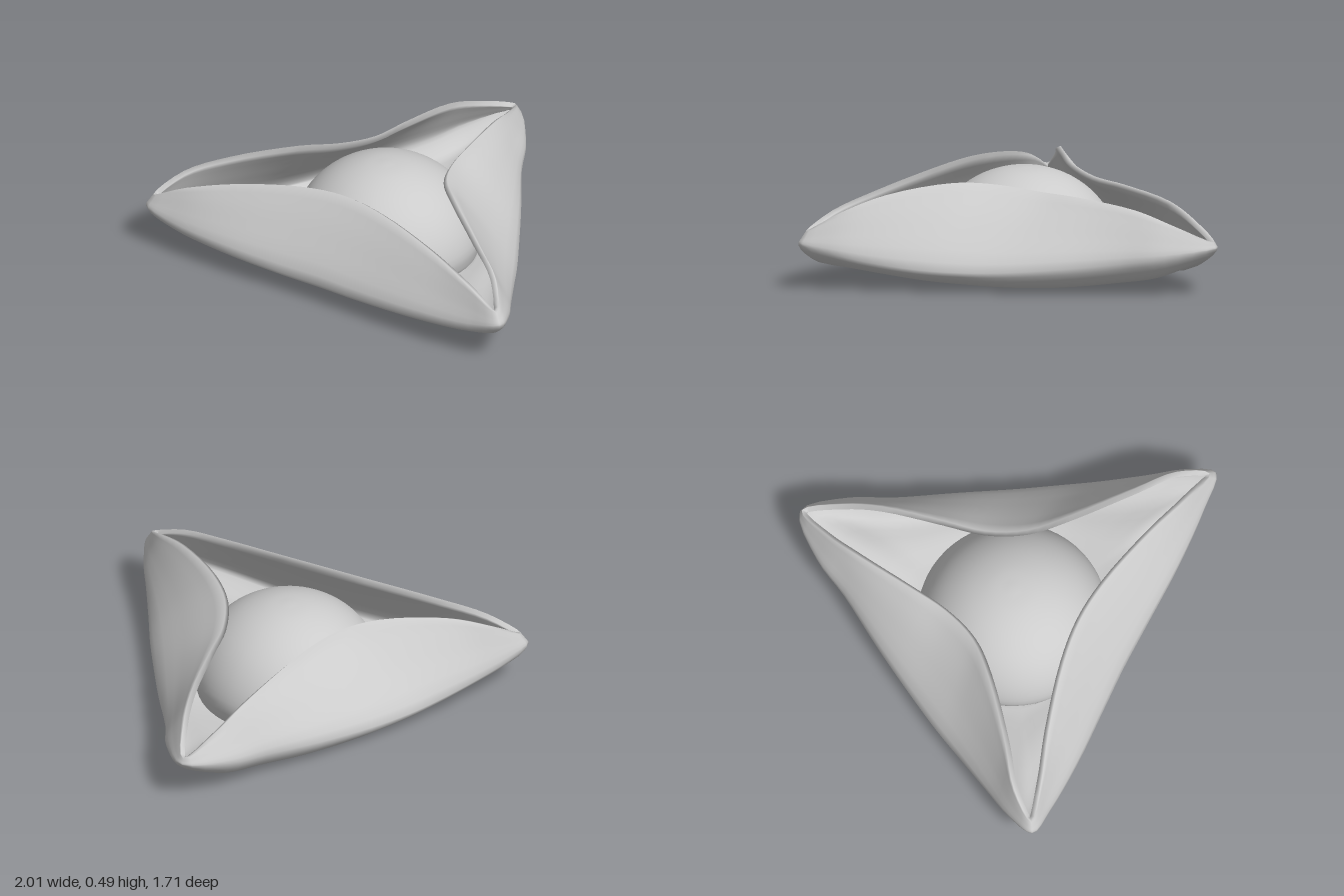
import * as THREE from 'three';

const V = (x, y, z) => new THREE.Vector3(x, y, z);

// Half outlines from the back tip, along the left flap, round the front corner to the front middle
const RIM = [[0, .275, -.85], [.085, .345, -.68], [.135, .405, -.5], [.185, .44, -.2], [.22, .45, 0], [.3, .475, .18], [.44, .49, .33],
  [.7, .45, .54], [.88, .38, .67], [.965, .295, .8], [.8, .365, .775], [.55, .43, .7], [.22, .485, .625], [0, .5, .605]];
const BELLY = [[0, .24, -.86], [.17, .2, -.69], [.27, .17, -.5], [.43, .14, -.25], [.58, .12, 0], [.685, .12, .18], [.765, .13, .33],
  [.87, .16, .52], [.96, .2, .68], [1, .23, .82], [.84, .18, .84], [.55, .15, .85], [.22, .13, .84], [0, .13, .835]];
const CREASE = [[0, .17, -.78], [.12, .11, -.65], [.21, .075, -.47], [.36, .045, -.23], [.5, .04, 0], [.6, .05, .18], [.67, .06, .33],
  [.77, .09, .52], [.86, .12, .66], [.92, .14, .76], [.8, .11, .76], [.55, .08, .75], [.22, .065, .74], [0, .06, .735]];

const COLS = 104, ROWS = 44, THICK = 0.025;
const CROWN = { z: 0.25, y: 0.09, r: 0.425, h: 0.39, opening: 0.41 };

// Mirrors a half outline into a closed smooth curve
function outline(half) {
  const left = half.map(p => V(...p));
  const right = half.slice(1, -1).reverse().map(([x, y, z]) => V(-x, y, z));
  return new THREE.CatmullRomCurve3([...left, ...right], true, 'centripetal');
}

// One strip of the hat: rim, flap, brim crease, head opening, then up inside the crown
function section(rim, belly, crease) {
  const w = belly.clone().sub(rim);
  const mid = rim.clone().add(belly).multiplyScalar(0.5).add(V(w.x * 0.05, w.length() * 0.03, w.z * 0.05));
  const a = Math.atan2(crease.x, crease.z - CROWN.z);
  const ring = (r, y) => V(Math.sin(a) * r, y, CROWN.z + Math.cos(a) * r);
  const lip = ring(CROWN.opening, 0.035 + 0.03 * Math.cos(a));
  lip.y += 0.015 * Math.max(0, -Math.cos(a)) ** 4;
  const under = crease.clone().lerp(lip, 0.5);
  const dome = [6, 22, 40, 58, 75, 90].map(d => {
    const e = THREE.MathUtils.degToRad(d);
    return ring(CROWN.r * Math.max(0, Math.cos(e)), CROWN.y + CROWN.h * Math.sin(e));
  });
  return new THREE.CatmullRomCurve3([rim, mid, belly, crease, under, lip, ...dome], false, 'centripetal');
}

function sheetIndex(offset, flip) {
  const index = [];
  for (let j = 0; j < ROWS; j++) {
    for (let i = 0; i < COLS; i++) {
      const n = (i + 1) % COLS;
      const a = offset + j * COLS + i, b = offset + j * COLS + n;
      const c = a + COLS, d = b + COLS;
      if (flip) index.push(a, c, b, b, c, d);
      else index.push(a, b, c, b, d, c);
    }
  }
  return index;
}

function hatGeometry() {
  const curves = [RIM, BELLY, CREASE].map(outline);
  const sections = [];
  for (let i = 0; i < COLS; i++) sections.push(section(...curves.map(c => c.getPoint(i / COLS))));

  // Underside skin, leaning slightly to one side towards the middle
  const lower = [];
  for (let j = 0; j <= ROWS; j++) {
    for (const s of sections) {
      const p = s.getPoint(j / ROWS);
      lower.push(p.x - 0.025 * (1 - Math.min(1, p.x * p.x)), Math.max(0, p.y), p.z);
    }
  }
  const skin = new THREE.BufferGeometry();
  skin.setAttribute('position', new THREE.Float32BufferAttribute(lower, 3));
  skin.setIndex(sheetIndex(0, false));
  skin.computeVertexNormals();

  // Upper skin, set off by the felt thickness
  const normals = skin.attributes.normal.array;
  const upper = lower.map((v, k) => v - normals[k] * THICK);
  const top = ROWS * COLS;
  for (let i = 0; i < COLS; i++) {
    const k = (top + i) * 3;
    upper[k] = lower[k];
    upper[k + 1] = lower[k + 1] + THICK;
    upper[k + 2] = lower[k + 2];
  }

  // Both skins joined along the rim
  const count = (ROWS + 1) * COLS;
  const index = [...sheetIndex(0, false), ...sheetIndex(count, true)];
  for (let i = 0; i < COLS; i++) {
    const n = (i + 1) % COLS;
    index.push(i, count + i, n, n, count + i, count + n);
  }
  const geometry = new THREE.BufferGeometry();
  geometry.setAttribute('position', new THREE.Float32BufferAttribute([...lower, ...upper], 3));
  geometry.setIndex(index);
  geometry.computeVertexNormals();

  // Even normals at the crown's peak
  const nor = geometry.attributes.normal;
  for (let i = 0; i < COLS; i++) {
    nor.setXYZ(top + i, 0, -1, 0);
    nor.setXYZ(count + top + i, 0, 1, 0);
  }
  return geometry;
}

export function createModel() {
  const group = new THREE.Group();
  group.name = 'threeCorneredHat';
  const material = new THREE.MeshStandardMaterial({ color: 0xcccccc, side: THREE.DoubleSide });
  const hat = new THREE.Mesh(hatGeometry(), material);
  hat.name = 'crownAndFoldedBrim';
  group.add(hat);
  return group;
}
